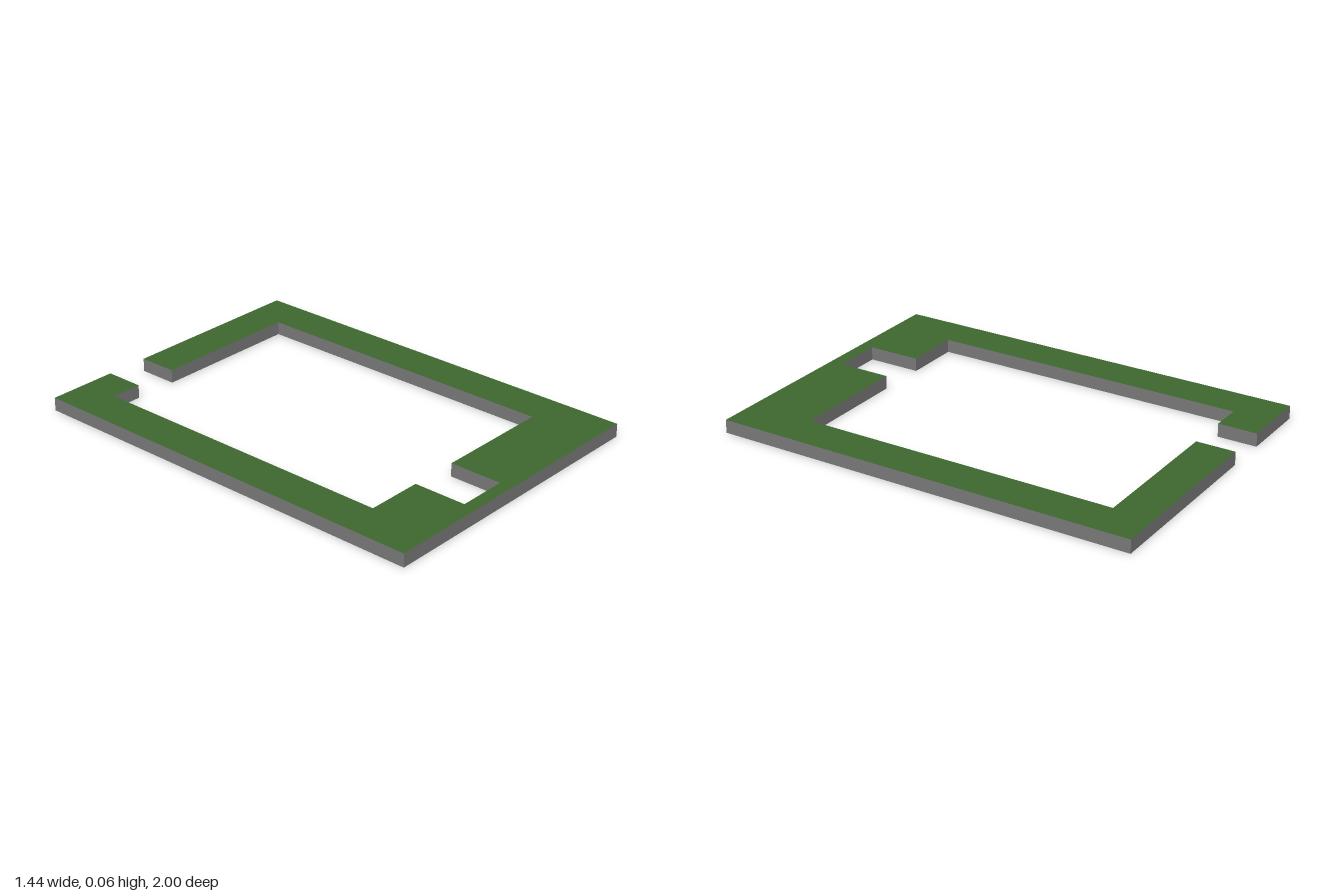
import * as THREE from 'three';

const HEIGHT = 0.062;

// Plan outline as [x, z]: a rectangular ring, open at the back, notched at the front
const OUTLINE = [
  [-0.718, 1], [0.718, 1], [0.718, -1], [-0.18, -1], [-0.18, -0.815],
  [0.53, -0.815], [0.53, 0.687], [-0.033, 0.687], [-0.033, 0.938],
  [-0.267, 0.938], [-0.267, 0.687], [-0.533, 0.687], [-0.533, -0.815],
  [-0.386, -0.815], [-0.386, -1], [-0.718, -1],
];

export function createModel() {
  const grey = new THREE.MeshStandardMaterial({ color: 0x7a7a7a });
  grey.name = 'stone grey';
  const green = new THREE.MeshStandardMaterial({ color: 0x3f692e });
  green.name = 'grass green';

  const shape = new THREE.Shape(OUTLINE.map(([x, z]) => new THREE.Vector2(x, -z)));
  const geometry = new THREE.ExtrudeGeometry(shape, { depth: HEIGHT, bevelEnabled: false });
  geometry.rotateX(-Math.PI / 2);

  // The caps come first, underside then top: colour the top green, the rest grey
  const [caps, walls] = geometry.groups;
  const half = caps.count / 2;
  geometry.clearGroups();
  geometry.addGroup(0, half, 0);
  geometry.addGroup(half, half, 1);
  geometry.addGroup(walls.start, walls.count, 0);

  const frame = new THREE.Mesh(geometry, [grey, green]);
  frame.name = 'borderFrame';

  const model = new THREE.Group();
  model.name = 'groundBorder';
  model.add(frame);
  return model;
}
